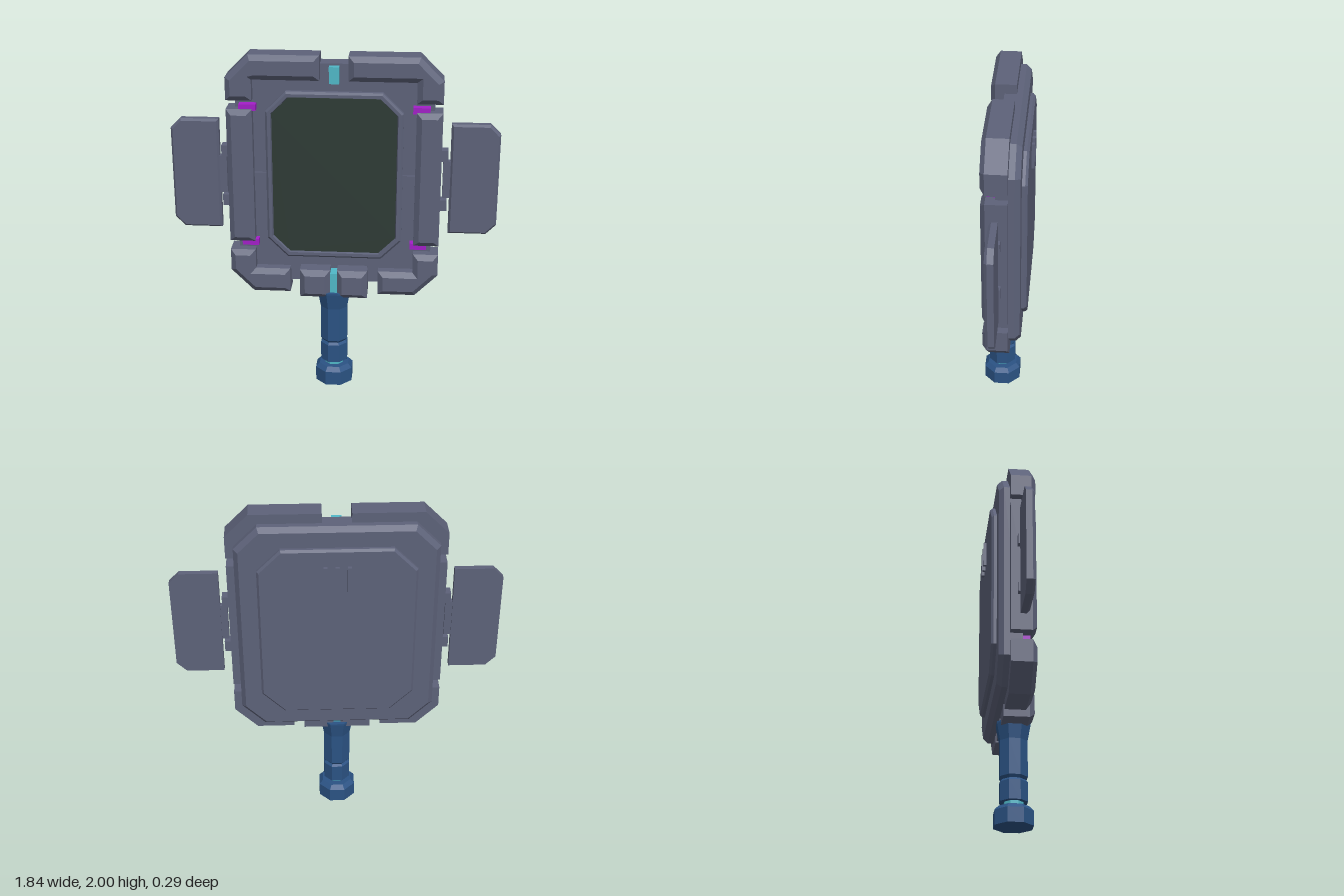
import * as THREE from 'three';

const mat = (name, color) => {
  const m = new THREE.MeshStandardMaterial({ color });
  m.name = name;
  return m;
};

// Move each side of a counter-clockwise outline inwards by d
function inset(pts, d) {
  const n = pts.length;
  return pts.map((p, i) => {
    const a = pts[(i + n - 1) % n], b = pts[(i + 1) % n];
    const l1 = Math.hypot(p[0] - a[0], p[1] - a[1]), l2 = Math.hypot(b[0] - p[0], b[1] - p[1]);
    const n1 = [(a[1] - p[1]) / l1, (p[0] - a[0]) / l1];
    const n2 = [(p[1] - b[1]) / l2, (b[0] - p[0]) / l2];
    const k = d / (1 + n1[0] * n2[0] + n1[1] * n2[1]);
    return [p[0] + (n1[0] + n2[0]) * k, p[1] + (n1[1] + n2[1]) * k];
  });
}

// Flat-faced slab through layers [z, inset], back to front
function slab(pts, layers) {
  const pos = [], n = pts.length;
  const rings = layers.map(([z, d]) => inset(pts, d).map(([x, y]) => [x, y, z]));
  const tri = (a, b, c) => pos.push(...a, ...b, ...c);
  for (let k = 0; k + 1 < rings.length; k++) {
    for (let i = 0; i < n; i++) {
      const j = (i + 1) % n, lo = rings[k], hi = rings[k + 1];
      tri(lo[i], lo[j], hi[j]);
      tri(lo[i], hi[j], hi[i]);
    }
  }
  const back = rings[0], front = rings[rings.length - 1];
  const faces = THREE.ShapeUtils.triangulateShape(pts.map(p => new THREE.Vector2(p[0], p[1])), []);
  for (const [a, b, c] of faces) {
    tri(front[a], front[b], front[c]);
    tri(back[c], back[b], back[a]);
  }
  const g = new THREE.BufferGeometry();
  g.setAttribute('position', new THREE.Float32BufferAttribute(pos, 3));
  g.computeVertexNormals();
  return g;
}

const rect = (x0, x1, y0, y1) => [[x0, y0], [x1, y0], [x1, y1], [x0, y1]];
const octagon = (w, y0, y1, c) => [
  [-w + c, y0], [w - c, y0], [w, y0 + c], [w, y1 - c],
  [w - c, y1], [-w + c, y1], [-w, y1 - c], [-w, y0 + c]];
const mirror = pts => pts.map(([x, y]) => [-x, y]).reverse();

export function createModel() {
  const grey = mat('slate grey', 0x5d6279);
  const blue = mat('handle blue', 0x2b5384);
  const cyan = mat('cyan', 0x50b8c8);
  const purple = mat('purple', 0xa31fc8);
  const dark = mat('screen green', 0x2e3b35);

  const root = new THREE.Group();
  root.name = 'handheldScanner';
  const add = (name, geo, m) => {
    const mesh = new THREE.Mesh(geo, m);
    mesh.name = name;
    root.add(mesh);
    return mesh;
  };
  const addPair = (name, pts, layers, m) => {
    add(name + 'Left', slab(pts, layers), m);
    add(name + 'Right', slab(mirror(pts), layers), m);
  };

  // Body, back cover and vents
  add('body', slab(octagon(0.555, 0.64, 1.945, 0.13), [[-0.098, 0.025], [-0.07, 0], [0.03, 0]]), grey);
  add('backCover', slab(octagon(0.435, 0.76, 1.83, 0.13), [[-0.128, 0.012], [-0.115, 0], [-0.09, 0]]), grey);
  for (const x of [-0.065, 0, 0.065]) {
    add('vent', slab(rect(x - 0.011, x + 0.011, 1.58, 1.73), [[-0.145, 0], [-0.12, 0]]), grey);
  }

  // Raised bezel around a slightly sunken screen
  add('bezel', slab(octagon(0.385, 0.8, 1.79, 0.115),
    [[0.025, 0], [0.055, 0], [0.067, 0.012], [0.067, 0.03], [0.048, 0.035]]), grey);
  add('screen', slab(octagon(0.35, 0.835, 1.755, 0.095), [[0.046, 0], [0.054, 0]]), dark);

  // Heavy frame pieces with bevelled fronts
  const frame = [[-0.037, 0], [0.08, 0], [0.105, 0.03]];
  addPair('topCorner', [
    [0.455, 1.74], [0.6, 1.74], [0.6, 1.87], [0.47, 2],
    [0.08, 2], [0.08, 1.86], [0.455, 1.86]], frame, grey);
  addPair('bottomCorner', [
    [0.455, 0.845], [0.455, 0.73], [0.255, 0.73], [0.255, 0.585],
    [0.47, 0.585], [0.6, 0.715], [0.6, 0.845]], frame, grey);
  addPair('sideRail', rect(0.455, 0.6, 0.9, 1.69), frame, grey);
  addPair('handleMount', rect(0.02, 0.195, 0.57, 0.74), [[-0.037, 0], [0.11, 0], [0.14, 0.03]], grey);

  // Small ribs and purple clips
  addPair('bezelRib', rect(0.38, 0.46, 1.282, 1.308), [[0.02, 0], [0.042, 0]], grey);
  for (const y of [0.872, 1.68]) {
    addPair('clip', rect(0.435, 0.53, y, y + 0.037), [[0.02, 0], [0.075, 0]], purple);
  }

  // Side wings on their hinges
  addPair('wing', [
    [0.65, 0.97], [0.865, 0.97], [0.922, 1.027], [0.922, 1.563], [0.865, 1.62], [0.65, 1.62]],
    [[0.008, 0], [0.042, 0], [0.056, 0.012]], grey);
  addPair('hingePin', rect(0.61, 0.652, 1.185, 1.405), [[0.015, 0], [0.047, 0]], grey);
  for (const y of [1.11, 1.405]) {
    addPair('hingeBlock', rect(0.59, 0.637, y, y + 0.065), [[0, 0], [0.06, 0]], grey);
  }

  // Cyan lights
  add('topLight', slab(rect(-0.028, 0.028, 1.84, 1.935), [[0.02, 0], [0.07, 0]]), cyan);
  add('lowerLight', slab(rect(-0.021, 0.021, 0.59, 0.72), [[-0.03, 0], [0.115, 0]]), cyan);

  // Eight-sided handle turned from [half width, y] profiles
  const turned = (name, profile, m) => {
    const pts = profile.map(([r, y]) => new THREE.Vector2(r / Math.cos(Math.PI / 8), y));
    const g = new THREE.LatheGeometry(pts, 8, Math.PI / 8).toNonIndexed();
    g.computeVertexNormals();
    add(name, g, m).position.z = 0.038;
  };
  turned('pommel', [[0, 0], [0.107, 0], [0.107, 0.085], [0.085, 0.11], [0, 0.11]], blue);
  turned('neckRing', [[0.052, 0.1], [0.052, 0.15]], cyan);
  turned('grip', [
    [0, 0.138], [0.077, 0.138], [0.077, 0.25], [0.066, 0.264], [0.077, 0.28],
    [0.077, 0.49], [0.095, 0.59], [0.095, 0.6], [0, 0.6]], blue);

  return root;
}
